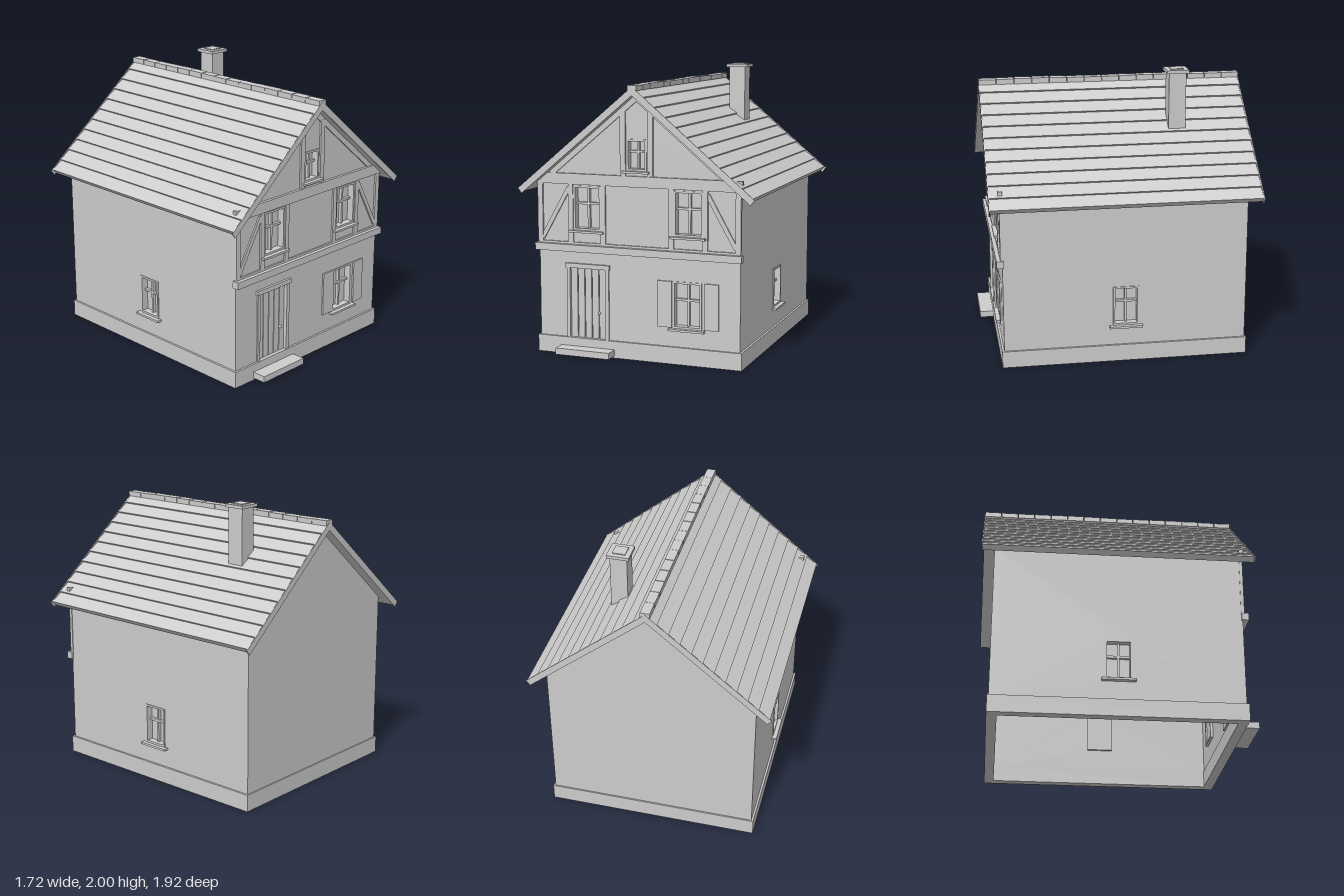
import * as THREE from 'three';

const plaster = new THREE.MeshStandardMaterial({ color: 0xcccccc });
plaster.name = 'light grey';

function mesh(parent, name, geometry) {
  const m = new THREE.Mesh(geometry, plaster);
  m.name = name;
  parent.add(m);
  return m;
}

// box given by its lower and upper corners
function box(parent, name, x0, x1, y0, y1, z0, z1) {
  const m = mesh(parent, name, new THREE.BoxGeometry(x1 - x0, y1 - y0, z1 - z0));
  m.position.set((x0 + x1) / 2, (y0 + y1) / 2, (z0 + z1) / 2);
  return m;
}

// slanted beam in the xy plane
function beam(parent, name, x0, y0, x1, y1, width, z0, z1) {
  const m = mesh(parent, name, new THREE.BoxGeometry(Math.hypot(x1 - x0, y1 - y0), width, z1 - z0));
  m.position.set((x0 + x1) / 2, (y0 + y1) / 2, (z0 + z1) / 2);
  m.rotation.z = Math.atan2(y1 - y0, x1 - x0);
  return m;
}

const rect = (x0, x1, y0, y1) => [[x0, y0], [x1, y0], [x1, y1], [x0, y1]];

// extruded outline with holes, from z0 to z1
function plate(parent, name, points, holes, z0, z1) {
  const vec = (list) => list.map(([x, y]) => new THREE.Vector2(x, y));
  const shape = new THREE.Shape(vec(points));
  holes.forEach((h) => shape.holes.push(new THREE.Path(vec(h))));
  const g = new THREE.ExtrudeGeometry(shape, { depth: z1 - z0, bevelEnabled: false });
  g.translate(0, 0, z0);
  return mesh(parent, name, g);
}

// window set into a wall whose outer face is at local z = 0
function addWindow(parent, name, [x0, x1, y0, y1]) {
  const g = new THREE.Group();
  g.name = name;
  parent.add(g);
  const f = 0.014, cx = (x0 + x1) / 2, bar = y0 + (y1 - y0) * 0.6;
  plate(g, 'windowFrame', rect(x0, x1, y0, y1), [rect(x0 + f, x1 - f, y0 + f, y1 - f)], -0.07, 0.006);
  box(g, 'windowPane', x0 + f, x1 - f, y0 + f, y1 - f, -0.06, -0.045);
  box(g, 'mullion', cx - 0.008, cx + 0.008, y0 + f, y1 - f, -0.045, -0.022);
  box(g, 'transom', x0 + f, x1 - f, bar - 0.008, bar + 0.008, -0.045, -0.022);
  box(g, 'windowSill', x0 - 0.024, x1 + 0.024, y0 - 0.015, y0, -0.03, 0.036);
}

export function createModel() {
  const house = new THREE.Group();
  house.name = 'house';
  const front = 0.845, back = -0.87, half = 0.74, thick = 0.05;
  const slope = 0.835, under = 1.833;
  const eave = under - slope * half;

  // plinth ring, laid flat
  const zc = (0.86 - 0.88) / 2;
  const plinth = plate(house, 'plinth', rect(-0.755, 0.755, -0.87, 0.87),
    [rect(-0.685, 0.685, -0.80, 0.80)], 0, 0.12);
  plinth.rotation.x = -Math.PI / 2;
  plinth.position.z = zc;

  // gable walls
  const gable = [[-half, 0.1], [half, 0.1], [half, eave], [0, under], [-half, eave]];
  const windows = [
    [0.258, 0.468, 0.25, 0.575],
    [-0.475, -0.268, 0.885, 1.195],
    [0.268, 0.475, 0.885, 1.195],
    [-0.075, 0.072, 1.315, 1.53],
  ];
  const door = [-0.51, -0.235, 0.115, 0.615];
  const facade = new THREE.Group();
  facade.name = 'facade';
  facade.position.z = front;
  house.add(facade);
  plate(facade, 'frontWall', gable, [...windows, door].map((w) => rect(...w)), -thick, 0);
  plate(house, 'backWall', gable, [], back, back + thick);
  windows.forEach((w) => addWindow(facade, 'frontWindow', w));

  // side walls, each with one window
  const sideWindow = [-0.092, 0.092, 0.265, 0.55];
  for (const s of [-1, 1]) {
    const side = new THREE.Group();
    side.name = s > 0 ? 'leftSide' : 'rightSide';
    side.position.set(s * half, 0, (front + back) / 2);
    side.rotation.y = s * Math.PI / 2;
    house.add(side);
    const len = (front - back) / 2 - 0.001;
    plate(side, 'sideWall', rect(-len, len, 0.1, eave), [rect(...sideWindow)], -thick, 0);
    addWindow(side, 'sideWindow', sideWindow);
  }

  // shutters of the ground floor window
  for (const x of [0.15, 0.488]) box(facade, 'shutter', x, x + 0.102, 0.255, 0.575, 0, 0.012);

  // door: frame, planks, lintel, knob and step
  box(facade, 'doorBack', -0.51, -0.235, 0.115, 0.615, -0.07, -0.03);
  for (let i = 0; i < 5; i++) {
    const x = -0.506 + i * 0.0535;
    box(facade, 'doorPlank', x, x + 0.048, 0.118, 0.612, -0.03, -0.012);
  }
  box(facade, 'doorPost', -0.53, -0.506, 0.115, 0.62, -0.05, 0.01);
  box(facade, 'doorPost', -0.239, -0.212, 0.115, 0.62, -0.05, 0.01);
  box(facade, 'doorLintel', -0.54, -0.205, 0.618, 0.65, -0.05, 0.018);
  const knob = mesh(facade, 'doorKnob', new THREE.SphereGeometry(0.011, 12, 8));
  knob.position.set(-0.29, 0.305, -0.004);
  box(house, 'doorStep', -0.575, -0.17, 0.015, 0.06, 0.85, 0.96);

  // timber framing on the front
  const t = 0.013;
  box(facade, 'storeyBeam', -0.757, 0.757, 0.735, 0.785, -0.01, 0.04);
  box(facade, 'sillBeam', -0.742, 0.742, 0.78, 0.80, -0.01, t);
  box(facade, 'topBeam', -0.757, 0.757, 1.205, 1.28, -0.01, 0.02);
  for (const s of [-1, 1]) {
    for (const [a, b] of [[0.707, 0.745], [0.475, 0.512], [0.232, 0.268]]) {
      box(facade, 'post', Math.min(s * a, s * b), Math.max(s * a, s * b), 0.80, 1.205, -0.01, t);
    }
    box(facade, 'gablePost', s * 0.1 - 0.02, s * 0.1 + 0.02, 1.28, 1.73, -0.01, t);
    beam(facade, 'brace', s * 0.712, 0.82, s * 0.508, 1.18, 0.03, -0.005, t - 0.002);
    beam(facade, 'gableRafter', s * 0.74, under - 0.024 - slope * 0.74, 0, under - 0.024, 0.037, -0.005, t - 0.002);
  }

  // roof slopes with stepped tile courses, and barge boards at both ends
  const z0 = -0.95, z1 = 0.925, top = 1.88, courses = 11, run = 0.845;
  for (const s of [-1, 1]) {
    const profile = [[0, under], [0, top]];
    for (let i = 1; i <= courses; i++) {
      const x = (run * i) / courses;
      profile.push([x + 0.004, top + 0.005 - slope * x]);
      if (i < courses) profile.push([x - 0.003, top - 0.005 - slope * x]);
    }
    profile.push([run - 0.024, under - slope * (run - 0.024)]);
    plate(house, 'roofSlope', profile.map(([x, y]) => [s * x, y]), [], z0, z1);
    const verge = [[0, under - 0.004], [0, top + 0.008], [0.86, top + 0.008 - slope * 0.86],
      [0.832, under - 0.004 - slope * 0.832]].map(([x, y]) => [s * x, y]);
    plate(house, 'bargeBoard', verge, [], z1, z1 + 0.008);
    plate(house, 'bargeBoard', verge, [], z0 - 0.008, z0);
  }

  // ridge caps, slightly uneven
  const caps = 15, step = (z1 - z0 + 0.016) / caps;
  for (let i = 0; i < caps; i++) {
    const z = z0 - 0.008 + i * step, j = Math.sin(i * 5.3) * 0.002;
    const cap = box(house, 'ridgeCap', -0.033, 0.033, 1.862, 1.899 + j, z + 0.002, z + step - 0.002);
    cap.rotation.x = Math.sin(i * 3.1) * 0.015;
  }

  // chimney with cap and raised flue
  box(house, 'chimney', 0.25, 0.37, 1.5, 1.98, -0.497, -0.375);
  box(house, 'chimneyCap', 0.232, 0.39, 1.972, 1.994, -0.515, -0.358);
  box(house, 'chimneyFlue', 0.265, 0.357, 1.99, 2.0, -0.482, -0.39);

  return house;
}
